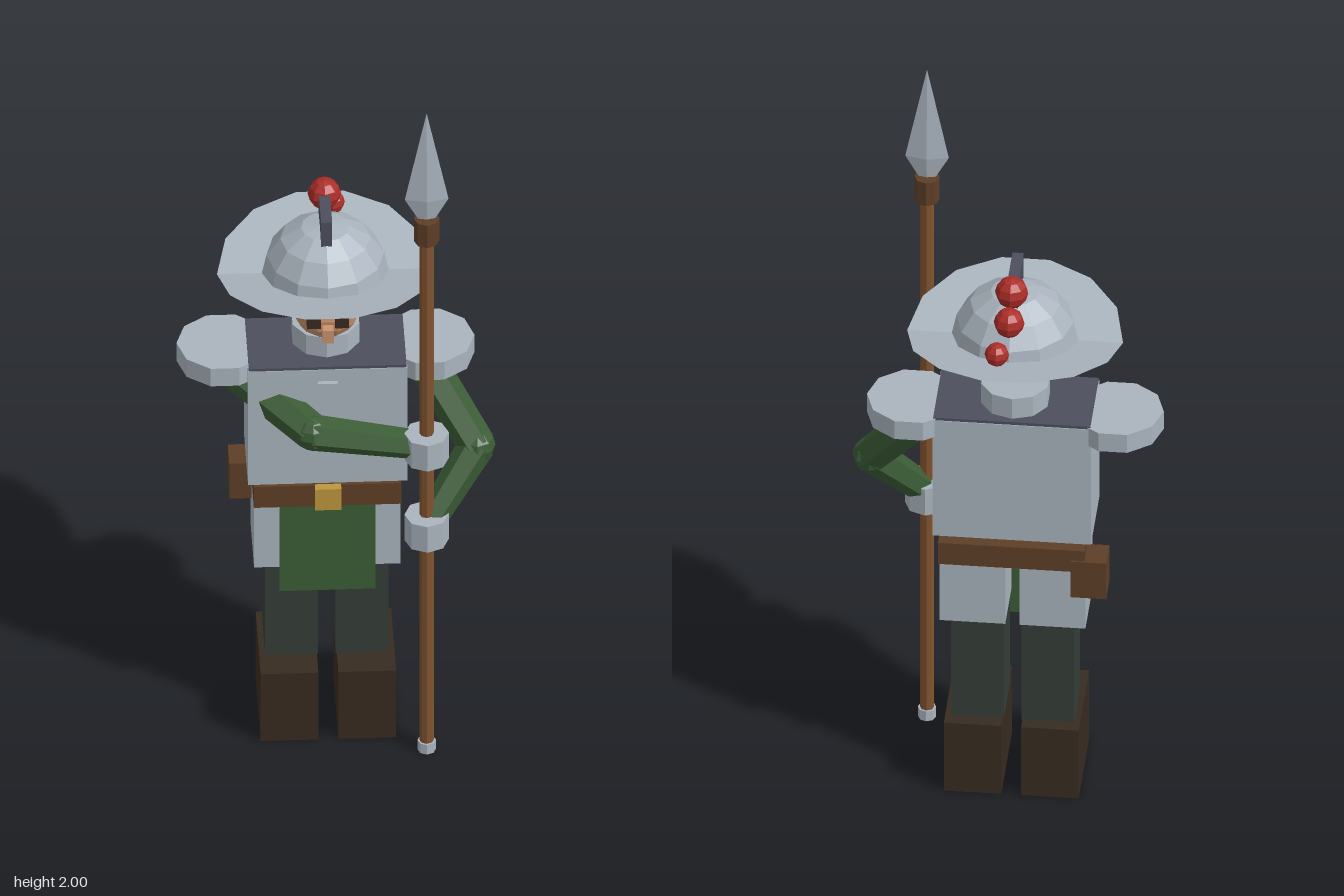
import * as THREE from 'three';

const CX = -0.03; // body centre line

function material(name, color, doubleSided = false) {
  const m = new THREE.MeshStandardMaterial({ color, flatShading: true });
  m.name = name;
  if (doubleSided) m.side = THREE.DoubleSide;
  return m;
}

export function createModel() {
  const root = new THREE.Group();
  root.name = 'spearGuard';
  const steel = material('steel', 0xaab4be, true);
  const darkSteel = material('darkSteel', 0x4c4f5e);
  const green = material('greenCloth', 0x3b5c36);
  const trouser = material('trouserCloth', 0x353e39);
  const boot = material('darkLeather', 0x372b20);
  const leather = material('leather', 0x5e3f27);
  const wood = material('wood', 0x80532f);
  const skin = material('skin', 0xc9926e);
  const red = material('redPlume', 0xab2d28);
  const gold = material('brass', 0xbd973c);

  const add = (name, geo, mat, x = 0, y = 0, z = 0, parent = root) => {
    const mesh = new THREE.Mesh(geo, mat);
    mesh.name = name;
    mesh.position.set(x, y, z);
    parent.add(mesh);
    return mesh;
  };
  // box from its extents
  const box = (name, mat, x0, x1, y0, y1, z0, z1) =>
    add(name, new THREE.BoxGeometry(x1 - x0, y1 - y0, z1 - z0), mat, (x0 + x1) / 2, (y0 + y1) / 2, (z0 + z1) / 2);
  // upright cylinder from y0 to y1
  const post = (name, mat, r, y0, y1, x, z, sides = 8) =>
    add(name, new THREE.CylinderGeometry(r, r, y1 - y0, sides), mat, x, (y0 + y1) / 2, z);
  // tapered six-sided limb between two points
  const limb = (name, a, b, ra, rb) => {
    const from = new THREE.Vector3(...a), dir = new THREE.Vector3(...b).sub(from);
    const mesh = add(name, new THREE.CylinderGeometry(rb, ra, dir.length(), 6), green);
    mesh.position.copy(from).addScaledVector(dir, 0.5);
    mesh.quaternion.setFromUnitVectors(new THREE.Vector3(0, 1, 0), dir.normalize());
  };

  // legs, boots, hip plates and shoulder plates
  for (const s of [-1, 1]) {
    const side = s > 0 ? 'left' : 'right';
    const pair = (name, mat, inner, outer, y0, y1, z0, z1) => {
      const a = CX + s * inner, b = CX + s * outer;
      box(side + name, mat, Math.min(a, b), Math.max(a, b), y0, y1, z0, z1);
    };
    pair('Boot', boot, 0.025, 0.17, 0, 0.21, -0.1, 0.16);
    pair('Leg', trouser, 0.022, 0.155, 0.21, 0.69, -0.066, 0.08);
    pair('HipPlate', steel, 0.018, 0.184, 0.505, 0.7, -0.07, 0.105);
    pair('Eye', boot, 0.018, 0.053, 1.28, 1.312, 0.105, 0.145);
    const plate = post(side + 'ShoulderPlate', steel, 0.117, 1.085, 1.14, CX + s * 0.257, 0.002, 10);
    plate.rotation.y = Math.PI / 2;
  }

  // torso and belt
  box('cuirass', steel, -0.23, 0.17, 0.78, 1.135, -0.09, 0.125);
  box('cuirassTop', darkSteel, -0.228, 0.168, 1.13, 1.143, -0.088, 0.123);
  box('cuirassRidge', steel, -0.055, -0.005, 0.81, 1.1, 0.12, 0.137);
  box('belt', leather, -0.215, 0.155, 0.7, 0.765, -0.1, 0.115);
  box('buckle', gold, -0.062, 0.004, 0.7, 0.765, 0.11, 0.133);
  box('frontCloth', green, -0.15, 0.09, 0.435, 0.705, 0.08, 0.114);
  box('pouch', leather, -0.27, -0.18, 0.625, 0.735, -0.105, -0.025);

  // neck and head
  post('neck', darkSteel, 0.07, 1.14, 1.16, CX, 0.005, 10);
  post('gorget', steel, 0.088, 1.15, 1.21, CX, 0.005, 10);
  add('head', new THREE.SphereGeometry(0.09, 10, 8), skin, CX, 1.285, 0.04);
  box('nose', skin, CX - 0.014, CX + 0.014, 1.235, 1.275, 0.11, 0.148);

  // helmet: dome, brim lifted front and back, comb and plume
  add('helmetDome', new THREE.SphereGeometry(0.16, 12, 4, 0, Math.PI * 2, 0, Math.PI / 2),
    steel, CX, 1.345, -0.004).scale.y = 0.97;
  const brim = new THREE.RingGeometry(0.145, 0.272, 14, 1).rotateX(-Math.PI / 2);
  const p = brim.attributes.position;
  for (let i = 0; i < p.count; i++) p.setY(i, 0.19 * Math.abs(p.getZ(i)));
  brim.computeVertexNormals();
  add('helmetBrim', brim, steel, CX, 1.348, -0.004);
  box('helmetComb', darkSteel, CX - 0.014, CX + 0.014, 1.44, 1.555, -0.07, 0.068);
  for (const [x, y, z, r] of [[-0.029, 1.538, -0.078, 0.042], [-0.029, 1.49, -0.142, 0.039], [-0.003, 1.425, -0.191, 0.031]])
    add('plumeBall', new THREE.SphereGeometry(r, 8, 6), red, x, y, z);

  // arms reaching to the spear
  const SX = 0.214, SZ = 0.213;
  const arms = [
    ['left', [0.21, 1.08, -0.005], [0.345, 0.875, 0.11], [SX, 0.7, SZ]],
    ['right', [-0.27, 1.065, 0.0], [-0.07, 0.985, 0.185], [SX, 0.955, SZ]],
  ];
  for (const [side, shoulder, elbow, hand] of arms) {
    limb(side + 'UpperArm', shoulder, elbow, 0.05, 0.047);
    limb(side + 'Forearm', elbow, hand, 0.047, 0.037);
    add(side + 'Elbow', new THREE.SphereGeometry(0.047, 8, 6), green, ...elbow);
    post(side + 'Gauntlet', steel, 0.056, hand[1] - 0.04, hand[1] + 0.04, SX, SZ);
  }

  // spear
  post('spearShaft', wood, 0.018, 0.01, 1.66, SX, SZ);
  post('spearFoot', steel, 0.023, 0, 0.03, SX, SZ);
  post('spearSocket', leather, 0.032, 1.6, 1.67, SX, SZ);
  const profile = [[0, 1.66], [0.022, 1.67], [0.055, 1.73], [0, 2]].map(([r, y]) => new THREE.Vector2(r, y));
  add('spearBlade', new THREE.LatheGeometry(profile, 4), steel, SX, 0, SZ).scale.z = 0.24;

  return root;
}
